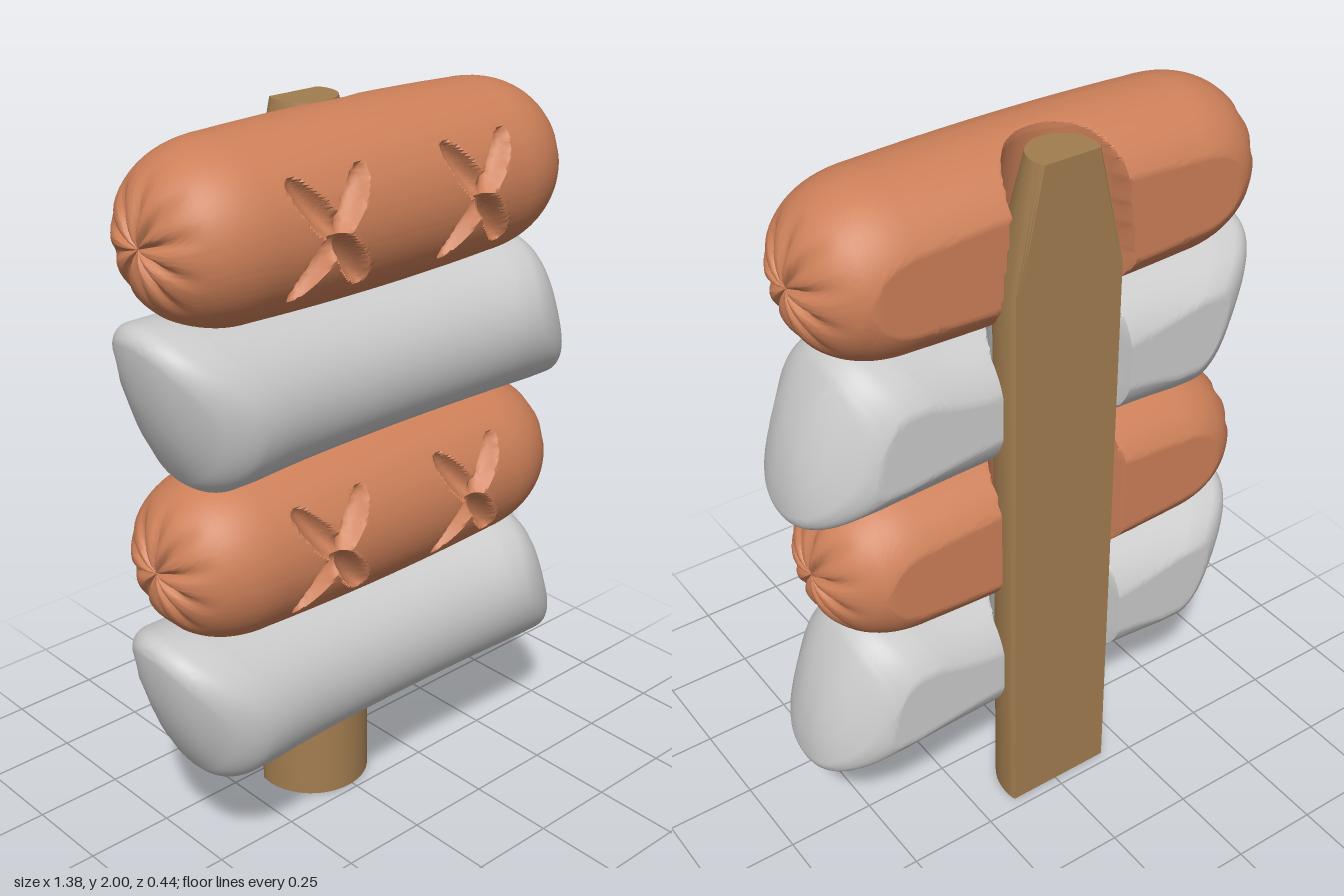
import * as THREE from 'three';
import { toCreasedNormals } from 'three/addons/utils/BufferGeometryUtils.js';

const CX = -0.0125;   // shared axis in x
const BACK = -0.22;   // plane of the flat back
const AXIS_Z = -0.016; // axis of the rolls
const sausageMat = new THREE.MeshStandardMaterial({ color: 0xcd8059 });
const greyMat = new THREE.MeshStandardMaterial({ color: 0xcccccc });
const woodMat = new THREE.MeshStandardMaterial({ color: 0xa27d50 });

// One ring of a roll: a round arc closed by a straight chord on the back plane
function ring(r, segments) {
  const d = AXIS_Z - BACK, flat = segments / 8, arc = segments - flat;
  const beta = r > d ? Math.acos(d / r) : 0;
  const points = [];
  for (let j = 0; j < segments; j++) {
    const ang = j < arc
      ? -Math.PI / 2 + beta + (j / arc) * 2 * (Math.PI - beta)
      : -Math.PI / 2;
    const y = j < arc ? r * Math.cos(ang) : r * Math.sin(beta) * (2 * (j - arc) / flat - 1);
    const z = j < arc ? r * Math.sin(ang) : -Math.min(r, d);
    points.push([y, z + AXIS_Z, ang]);
  }
  return points;
}

// Skin rings along x; place(x, y, z, r, angle) gives each vertex
function skin(stations, segments, place) {
  const pos = [], index = [];
  stations.forEach(([x, r]) => {
    for (const [y, z, ang] of ring(r, segments)) {
      const [px, py, pz] = place(x, y, z, r, ang);
      pos.push(px, py, channel(px, py, pz));
    }
  });
  for (let i = 0; i < stations.length - 1; i++) {
    for (let j = 0; j < segments; j++) {
      const a = i * segments + j, b = i * segments + (j + 1) % segments;
      const c = a + segments, d = b + segments;
      index.push(a, b, c, b, d, c);
    }
  }
  const g = new THREE.BufferGeometry();
  g.setAttribute('position', new THREE.Float32BufferAttribute(pos, 3));
  g.setIndex(index);
  return toCreasedNormals(g, 0.6);
}

// Hollow the upright channel for the stick
function channel(x, y, z) {
  const t = THREE.MathUtils.clamp((y - 1.68) / 0.3, 0, 1);
  const R = THREE.MathUtils.lerp(0.19, 0.152, t);
  const dx = x - CX;
  return Math.abs(dx) < R ? Math.max(z, -0.205 + Math.sqrt(R * R - dx * dx)) : z;
}

// Stations for a straight middle and two mirrored ends
function mirrored(end, half, steps, radius) {
  const mid = [];
  for (let i = 1; i < steps; i++) {
    const x = -half + (2 * half * i) / steps;
    mid.push([x, radius(x)]);
  }
  return [...end.map(([x, r]) => [-x, r]).reverse(), ...mid, ...end];
}

// Depth of the crossed slashes on the front: four petals around each crossing
function slash(x, y) {
  const dx = Math.abs(Math.abs(x) - 0.24), dy = Math.abs(y);
  const c = Math.cos(0.9), s = Math.sin(0.9);
  const a = dx * c + dy * s, b = dy * c - dx * s;
  const q = ((a - 0.082) / 0.1) ** 2 + (b / 0.034) ** 2;
  return q < 1 ? 0.05 * Math.pow(1 - q, 0.75) : 0;
}

function sausageGeometry(cy) {
  const half = 0.395, cap = 0.258;
  const radius = x => 0.236 - 0.008 * (x / half) ** 2;
  const end = [];
  for (let i = 0; i <= 20; i++) {
    const p = (i / 20) * Math.PI / 2;
    const r = i === 20 ? 0 : 0.228 * Math.pow(Math.cos(p), 0.86);
    end.push([half + cap * Math.pow(Math.sin(p), 0.9), r]);
  }
  return skin(mirrored(end, half, 100, radius), 160, (x, y, z, r, ang) => {
    // Puckered ends with radial creases
    if (Math.abs(x) > half) {
      const w = Math.max(0, 1 - (r / 0.18) ** 2);
      const crease = Math.cos(5 * ang) ** 4 * Math.min(1, r / 0.04);
      x -= Math.sign(x) * w * (0.02 * crease + 0.018 * Math.exp(-r / 0.03));
    }
    if (z > 0) z -= slash(x, y);
    return [x + CX, y + cy, z];
  });
}

function slantedRollGeometry(cy) {
  const half = 0.5;
  const radius = x => 0.211 + 0.017 * (x / half) ** 2;
  // Rounded rim, then a slightly domed end
  const end = [[0.5, 0.228]];
  for (let i = 0; i <= 8; i++) {
    const p = (i / 8) * Math.PI * 0.42;
    end.push([0.565 + 0.067 * Math.sin(p), 0.168 + 0.06 * Math.cos(p)]);
  }
  end.push([0.644, 0.12], [0.652, 0.06], [0.654, 0]);
  return skin(mirrored(end, half, 100, radius), 112, (x, y, z) => {
    // Only the outer parts slant; the ends also curve back toward front and rear
    const w = THREE.MathUtils.smoothstep(Math.abs(x), 0.2, 0.56);
    const px = x - w * (0.33 * y + Math.sign(x) * 0.1 * Math.abs(z / 0.22) ** 3);
    return [px, y + cy + 0.008 * Math.min(1, (x / half) ** 2), z];
  });
}

// Round stick with a tapered tip and a flat back
function stickGeometry() {
  const profile = [[0, 0], [0.1625, 0], [0.1625, 1.67], [0.088, 1.985], [0, 1.985]]
    .map(([r, y]) => new THREE.Vector2(r, y));
  const g = new THREE.LatheGeometry(profile, 64);
  g.translate(CX, 0, -0.1825);
  const p = g.attributes.position;
  for (let i = 0; i < p.count; i++) p.setZ(i, Math.max(p.getZ(i), BACK));
  return toCreasedNormals(g, 0.5);
}

export function createModel() {
  const group = new THREE.Group();
  const add = (name, geometry, material) => {
    const mesh = new THREE.Mesh(geometry, material);
    mesh.name = name;
    group.add(mesh);
  };
  add('stick', stickGeometry(), woodMat);
  ['lower', 'upper'].forEach((level, i) => {
    add(level + 'SlantedRoll', slantedRollGeometry(0.521 + i * 0.825), greyMat);
    add(level + 'Sausage', sausageGeometry(0.939 + i * 0.825), sausageMat);
  });
  return group;
}
